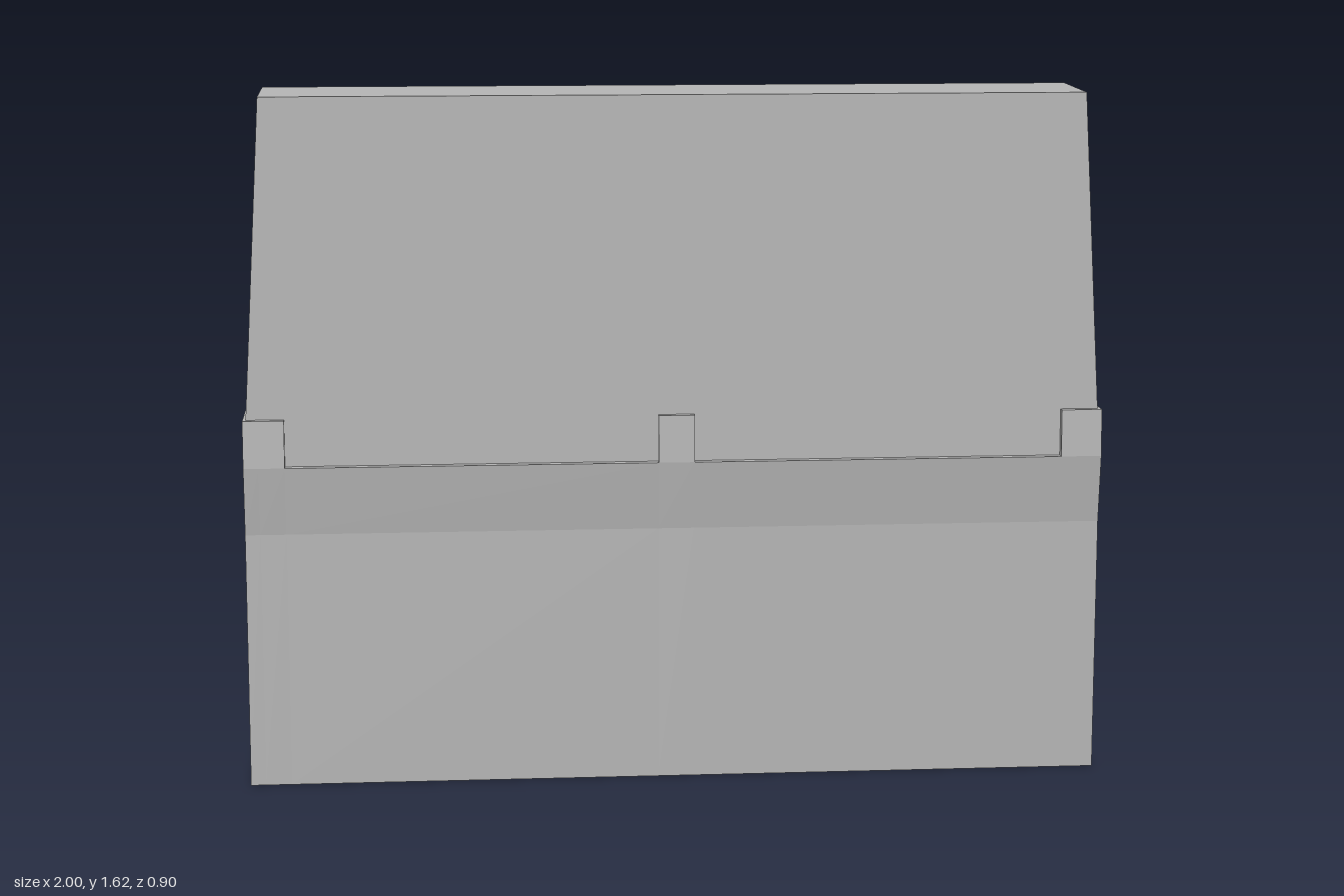
import * as THREE from 'three';

const grey = new THREE.MeshStandardMaterial({ color: 0xb3b3b3 });
grey.name = 'plain grey';

// Extrudes a [z, y] outline along x, from x0 to x1
function slab(name, outline, x0, x1, hole) {
  const points = (list) => list.map(([z, y]) => new THREE.Vector2(z, y));
  const shape = new THREE.Shape(points(outline));
  if (hole) shape.holes.push(new THREE.Path(points(hole)));
  const geometry = new THREE.ExtrudeGeometry(shape, { depth: x1 - x0, bevelEnabled: false });
  geometry.rotateY(-Math.PI / 2);
  geometry.translate(x1, 0, 0);
  const mesh = new THREE.Mesh(geometry, grey);
  mesh.name = name;
  return mesh;
}

// Joins four-cornered rings, ordered from +z to -z, into a closed faceted solid
function loft(name, rings) {
  const positions = [];
  const quad = (a, b, c, d) => positions.push(...a, ...b, ...c, ...a, ...c, ...d);
  quad(...rings[0]);
  for (let r = 0; r < rings.length - 1; r++) {
    const A = rings[r], B = rings[r + 1];
    for (let i = 0; i < 4; i++) {
      const j = (i + 1) % 4;
      quad(A[i], B[i], B[j], A[j]);
    }
  }
  quad(...rings[rings.length - 1].slice().reverse());
  const geometry = new THREE.BufferGeometry();
  geometry.setAttribute('position', new THREE.Float32BufferAttribute(positions, 3));
  geometry.computeVertexNormals();
  const mesh = new THREE.Mesh(geometry, grey);
  mesh.name = name;
  return mesh;
}

// Trapezium ring: half width, height and depth at its bottom and top edges
const ring = (wb, yb, zb, wt, yt, zt) => [[-wb, yb, zb], [wb, yb, zb], [wt, yt, zt], [-wt, yt, zt]];

export function createModel() {
  const group = new THREE.Group();
  group.name = 'bench';

  // Side profile shared by the end panels and the centre divider
  const panel = [
    [-0.355, 0], [0.43, 0], [0.43, 0.6], [0.45, 0.76], [0.445, 0.87], [-0.44, 0.87], [-0.45, 0.76],
  ];
  const pocket = [[-0.31, 0.09], [-0.31, 0.47], [0.31, 0.47], [0.31, 0.09]];

  // End panels, each with a shallow rectangular pocket on the outside
  for (const [side, s] of [['left', 1], ['right', -1]]) {
    const span = (a, b) => (s > 0 ? [a, b] : [-b, -a]);
    group.add(slab(side + 'EndPanel', panel, ...span(0.905, 0.965)));
    group.add(slab(side + 'EndPanelFrame', panel, ...span(0.965, 1), pocket));
  }
  group.add(slab('centreDivider', panel, -0.042, 0.042));

  // Seat with thin rear wall, one bay either side of the divider
  const seat = [
    [-0.45, 0.76], [-0.419, 0.51], [0.425, 0.51], [0.425, 0], [0.43, 0], [0.43, 0.6], [0.45, 0.76],
  ];
  group.add(slab('leftSeat', seat, 0.042, 0.905));
  group.add(slab('rightSeat', seat, -0.905, -0.042));

  // Tapered backrest with a bevelled frame and a recessed panel
  group.add(loft('backrest', [
    ring(0.999, 0.76, 0.43, 0.95, 1.61, 0.425),
    ring(0.999, 0.76, 0.125, 0.95, 1.615, 0.175),
    ring(0.81, 0.865, 0.12, 0.805, 1.51, 0.152),
    ring(0.81, 0.865, 0.135, 0.805, 1.51, 0.167),
  ]));

  return group;
}
